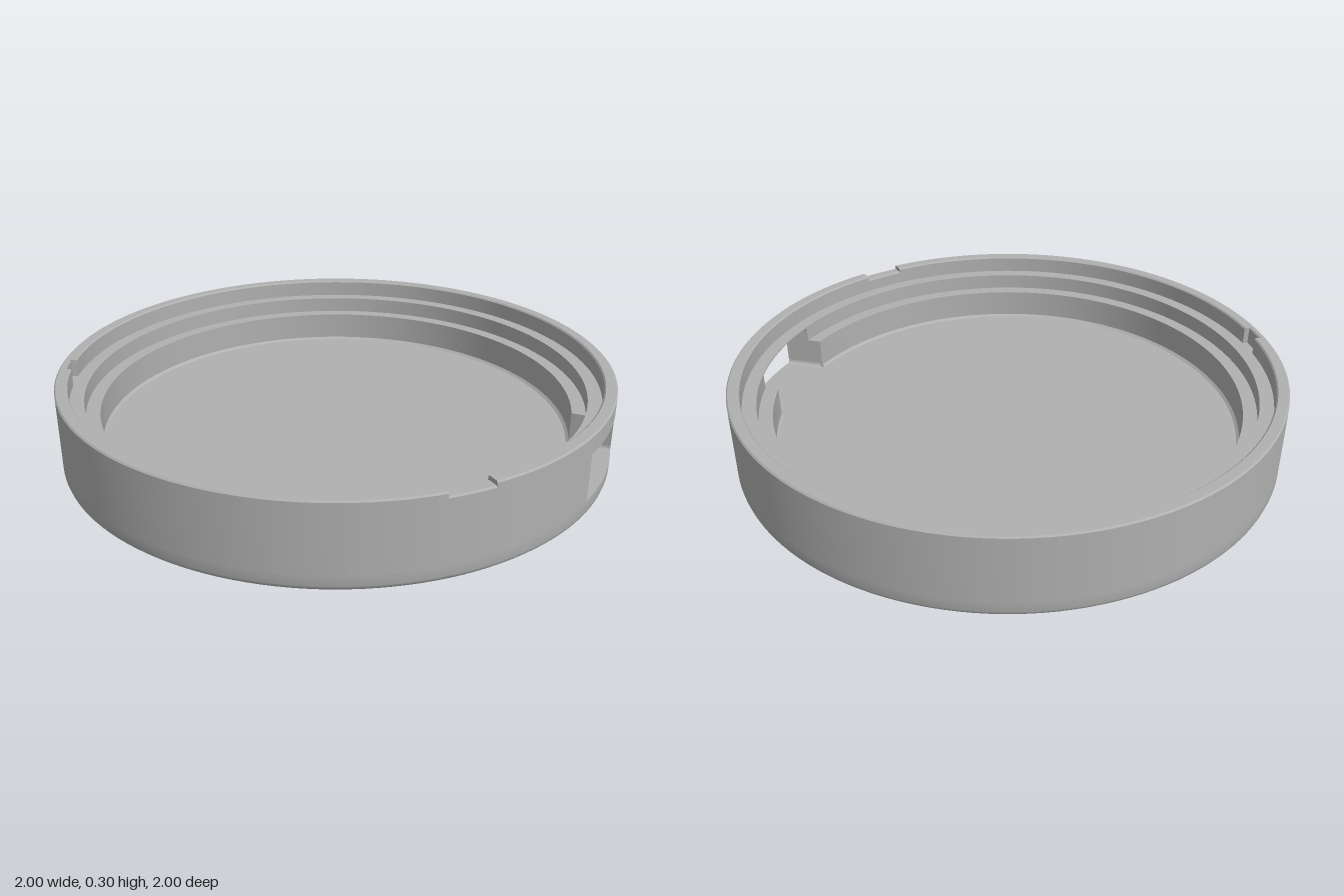
import * as THREE from 'three';
import { toCreasedNormals } from 'three/addons/utils/BufferGeometryUtils.js';

const STEP = Math.PI / 72;
const FLOOR = 0.06, WIN_TOP = 0.23, WIN_HALF = 0.195, HEIGHT = 0.3;
const rad = THREE.MathUtils.degToRad;

// Upper rim: bore radius and top height vary where the rim is notched
const rim = (inner = 0.955, top = HEIGHT) => [
  [0.905, 0.235], [inner, 0.235], [inner, top - 0.005], [inner + 0.005, top],
  [0.995, top], [1, top - 0.005],
];

// Stepped wall from the floor up to the rim
const wall = (inner, top) => [
  [0.845, FLOOR], [0.855, FLOOR + 0.008], [0.855, 0.175], [0.905, 0.175],
  ...rim(inner, top), [1, FLOOR],
];

// Sweep a closed [radius, y] section between two angles; each end may depend on the radius
function sweep(section, from, to) {
  const start = typeof from === 'function' ? from : () => from;
  const end = typeof to === 'function' ? to : () => to;
  const steps = Math.max(3, Math.ceil((end(1) - start(1)) / STEP));
  const n = section.length, pos = [], index = [];
  for (let i = 0; i <= steps; i++) {
    for (const [r, y] of section) {
      const a = THREE.MathUtils.lerp(start(r), end(r), i / steps);
      pos.push(r * Math.cos(a), y, r * Math.sin(a));
    }
  }
  for (let i = 0; i < steps; i++) {
    for (let j = 0; j < n; j++) {
      const a = i * n + j, b = i * n + (j + 1) % n, c = a + n, d = b + n;
      index.push(a, c, b, b, c, d);
    }
  }
  // End caps
  const pts = section.map(([r, y]) => new THREE.Vector2(r, y));
  for (const tri of THREE.ShapeUtils.triangulateShape(pts, [])) {
    const ccw = THREE.ShapeUtils.area(tri.map((k) => pts[k])) > 0;
    const [a, b, c] = ccw ? tri : [tri[0], tri[2], tri[1]];
    const o = steps * n;
    index.push(a, c, b, o + a, o + b, o + c);
  }
  const geo = new THREE.BufferGeometry();
  geo.setAttribute('position', new THREE.Float32BufferAttribute(pos, 3));
  geo.setIndex(index);
  return toCreasedNormals(geo, 0.5);
}

// Concave corner filler for the window, extruded along x
function windowFillet(side, top) {
  const r = 0.015, z = side * WIN_HALF, y = top ? WIN_TOP : FLOOR, v = top ? -1 : 1;
  const shape = new THREE.Shape([new THREE.Vector2(z, y)]);
  const pts = [new THREE.Vector2(z, y)];
  for (let i = 0; i <= 5; i++) {
    const a = (i / 5) * Math.PI / 2;
    pts.push(new THREE.Vector2(z - side * r * (1 - Math.sin(a)), y + v * r * (1 - Math.cos(a))));
  }
  shape.setFromPoints(pts);
  const x0 = top ? 0.887 : 0.84;
  const geo = new THREE.ExtrudeGeometry(shape, { depth: 0.98 - x0, bevelEnabled: false });
  geo.rotateY(Math.PI / 2).translate(x0, 0, 0);
  return toCreasedNormals(geo, 0.5);
}

export function createModel() {
  const model = new THREE.Group();
  model.name = 'roundCase';
  const grey = new THREE.MeshStandardMaterial({ color: 0xb0b0b0 });
  grey.name = 'grey plastic';
  const add = (name, geo) => {
    const mesh = new THREE.Mesh(geo, grey);
    mesh.name = name;
    model.add(mesh);
  };

  // Base disc with a rounded lower edge
  const base = [[0, 0], [0.98, 0], [0.99, 0.003], [0.997, 0.01], [1, 0.02], [1, FLOOR], [0, FLOOR]];
  add('base', toCreasedNormals(
    new THREE.LatheGeometry(base.map(([r, y]) => new THREE.Vector2(r, y)), 144), 0.5));

  // Window sides are parallel planes, so their angle changes with radius
  const windowEnd = (r) => Math.asin(WIN_HALF / r);
  const windowStart = (r) => -windowEnd(r);
  const notch = [rad(37.5), rad(46.5)];
  const pocket = [rad(150.5), rad(155.6)];

  // Wall sections between the cutouts
  add('wallFrontLeft', sweep(wall(), windowEnd, notch[0]));
  add('wallFront', sweep(wall(), notch[1], pocket[0]));
  add('wallBack', sweep(wall(), pocket[1], (r) => 2 * Math.PI + windowStart(r)));

  // Shallow dip in the rim, and a small pocket in its bore
  add('rimNotch', sweep(wall(0.955, 0.285), ...notch));
  add('rimPocket', sweep(wall(0.975), ...pocket));

  // Rim bridging the side window
  add('windowBridge', sweep([[0.905, WIN_TOP], ...rim(), [1, WIN_TOP]], windowStart, windowEnd));
  for (const side of [-1, 1]) {
    for (const top of [false, true]) add('windowCorner', windowFillet(side, top));
  }
  return model;
}
